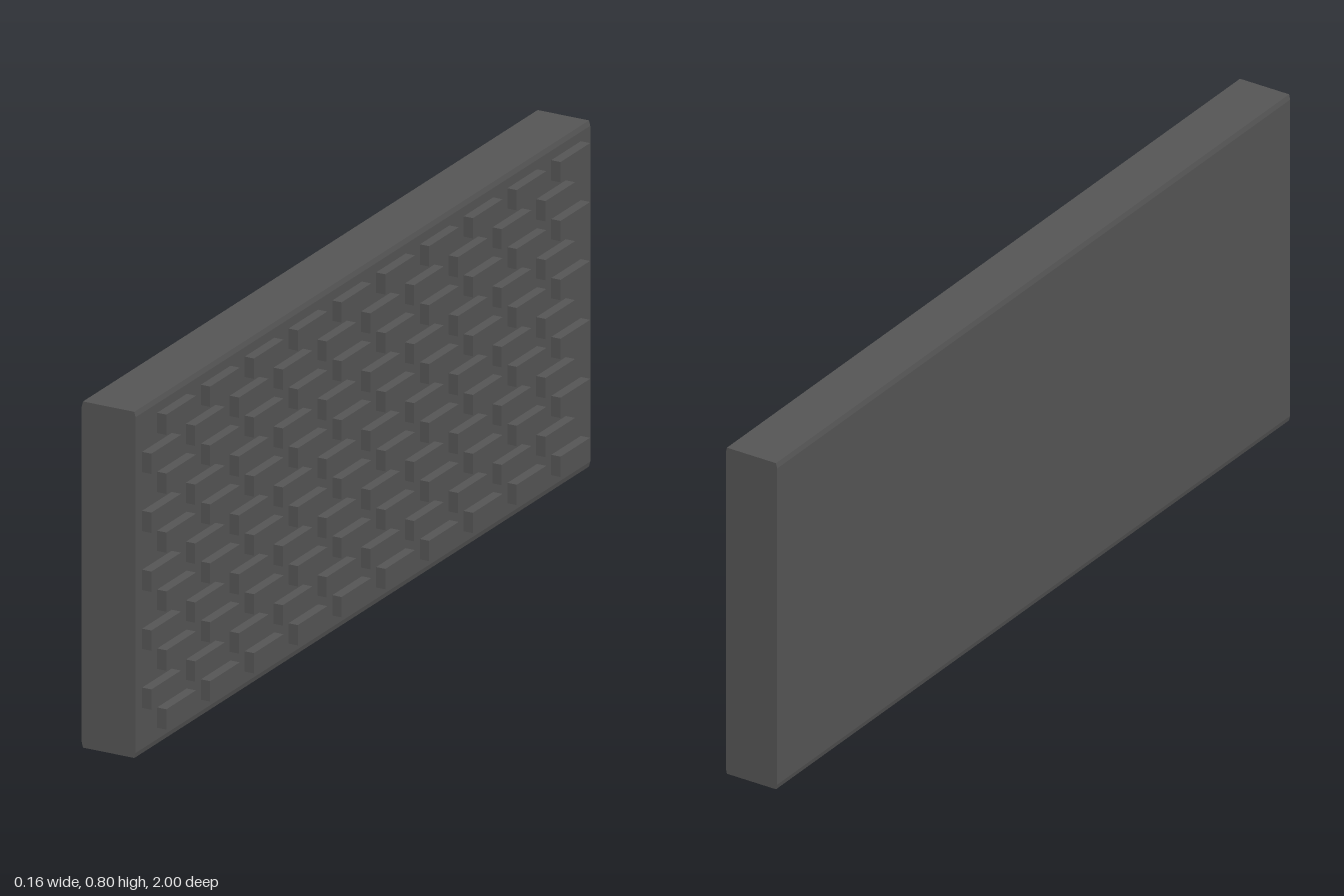
import * as THREE from 'three';

export function createModel() {
  const model = new THREE.Group();
  model.name = 'brickWall';
  const darkGrey = new THREE.MeshStandardMaterial({ color: 0x555555 });
  darkGrey.name = 'darkGrey';

  // Wall slab: a section with slightly chamfered top and bottom edges, run along z
  const back = -0.078, face = 0.055, height = 0.8, inset = 0.003, drop = 0.012;
  const section = new THREE.Shape([
    [back + inset, 0], [face - inset, 0], [face, drop], [face, height - drop],
    [face - inset, height], [back + inset, height], [back, height - drop], [back, drop],
  ].map(([x, y]) => new THREE.Vector2(x, y)));
  const slabGeometry = new THREE.ExtrudeGeometry(section, { depth: 2, bevelEnabled: false });
  slabGeometry.translate(0, 0, -1);
  const slab = new THREE.Mesh(slabGeometry, darkGrey);
  slab.name = 'wallSlab';
  model.add(slab);

  // Raised bricks on the left face, alternate rows shifted
  const bricks = new THREE.Group();
  bricks.name = 'bricks';
  const depth = 0.023, sunk = 0.005;
  const brickGeometry = new THREE.BoxGeometry(depth + sunk, 0.047, 0.13);
  for (let row = 0; row < 11; row++) {
    const firstZ = row % 2 ? 0.906 : 0.84;
    for (let i = 0; i < 10; i++) {
      const brick = new THREE.Mesh(brickGeometry, darkGrey);
      brick.name = 'brick';
      brick.position.set(face + (depth - sunk) / 2, 0.062 + row * 0.0681, firstZ - i * 0.1926);
      bricks.add(brick);
    }
  }
  model.add(bricks);
  return model;
}
